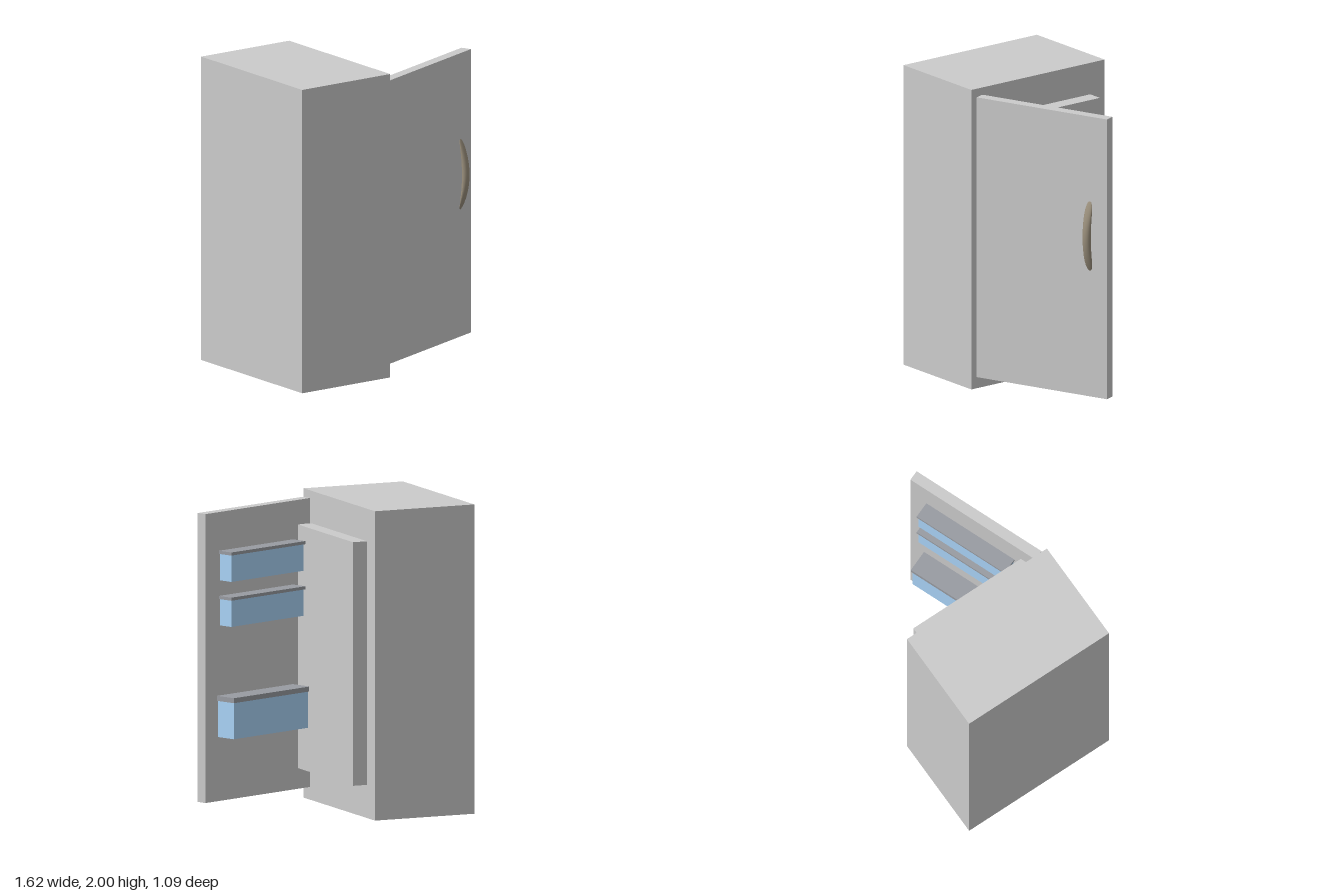
import * as THREE from 'three';

const grey = new THREE.MeshStandardMaterial({ color: 0xcccccc });
const lidGrey = new THREE.MeshStandardMaterial({ color: 0x999ca2 });
const blue = new THREE.MeshStandardMaterial({ color: 0xaad4f8 });
const bronze = new THREE.MeshStandardMaterial({ color: 0x9a8f7c });

// Box given by its extents along each axis
function box(name, [x0, x1], [y0, y1], [z0, z1], material = grey) {
  const mesh = new THREE.Mesh(new THREE.BoxGeometry(x1 - x0, y1 - y0, z1 - z0), material);
  mesh.position.set((x0 + x1) / 2, (y0 + y1) / 2, (z0 + z1) / 2);
  mesh.name = name;
  return mesh;
}

// Crescent grip: a sphere stretched upright and bowed away from the door
function createHandle() {
  const geo = new THREE.SphereGeometry(1, 24, 32);
  const pos = geo.attributes.position;
  for (let i = 0; i < pos.count; i++) {
    const t = pos.getY(i);
    const ring = Math.sqrt(Math.max(1 - t * t, 1e-8));
    const width = 0.028 * Math.sqrt(Math.max(1 - t ** 6, 0));
    const bow = 1 - t * t;
    pos.setXYZ(i,
      (pos.getX(i) / ring) * width,
      t * 0.232,
      bow * 0.041 + (pos.getZ(i) / ring) * (0.02 * bow + 0.003 * ring));
  }
  geo.computeVertexNormals();
  const handle = new THREE.Mesh(geo, bronze);
  handle.name = 'handle';
  handle.position.set(0.84, 1.153, 0);
  return handle;
}

export function createModel() {
  const model = new THREE.Group();
  model.name = 'refrigerator';

  // Cabinet with the raised panel behind the door
  model.add(box('cabinet', [-0.81, -0.11], [0, 2], [-0.543, 0.543]));
  model.add(box('innerPanel', [-0.11, -0.01], [0.215, 1.79], [-0.425, 0.423]));

  // Open door: local x runs along its width, local z points outward
  const door = new THREE.Group();
  door.name = 'door';
  door.position.set(-0.09, 0, 0.515);
  door.rotation.y = THREE.MathUtils.degToRad(21.2);
  door.add(box('doorSlab', [0, 0.966], [0.082, 1.95], [-0.07, 0]));
  door.add(createHandle());

  // Door bins with overhanging lids: bottom, lid underside, lid top, right end, depth
  const bins = [
    [0.497, 0.732, 0.764, 0.861, -0.22],
    [1.217, 1.388, 1.408, 0.843, -0.18],
    [1.508, 1.68, 1.7, 0.843, -0.18],
  ];
  for (const [bottom, rim, top, end, back] of bins) {
    const bin = new THREE.Group();
    bin.name = 'doorBin';
    bin.add(box('binTray', [0.17, end - 0.008], [bottom, rim], [back + 0.008, -0.07], blue));
    bin.add(box('binLid', [0.162, end], [rim, top], [back, -0.07], lidGrey));
    door.add(bin);
  }
  model.add(door);
  return model;
}
